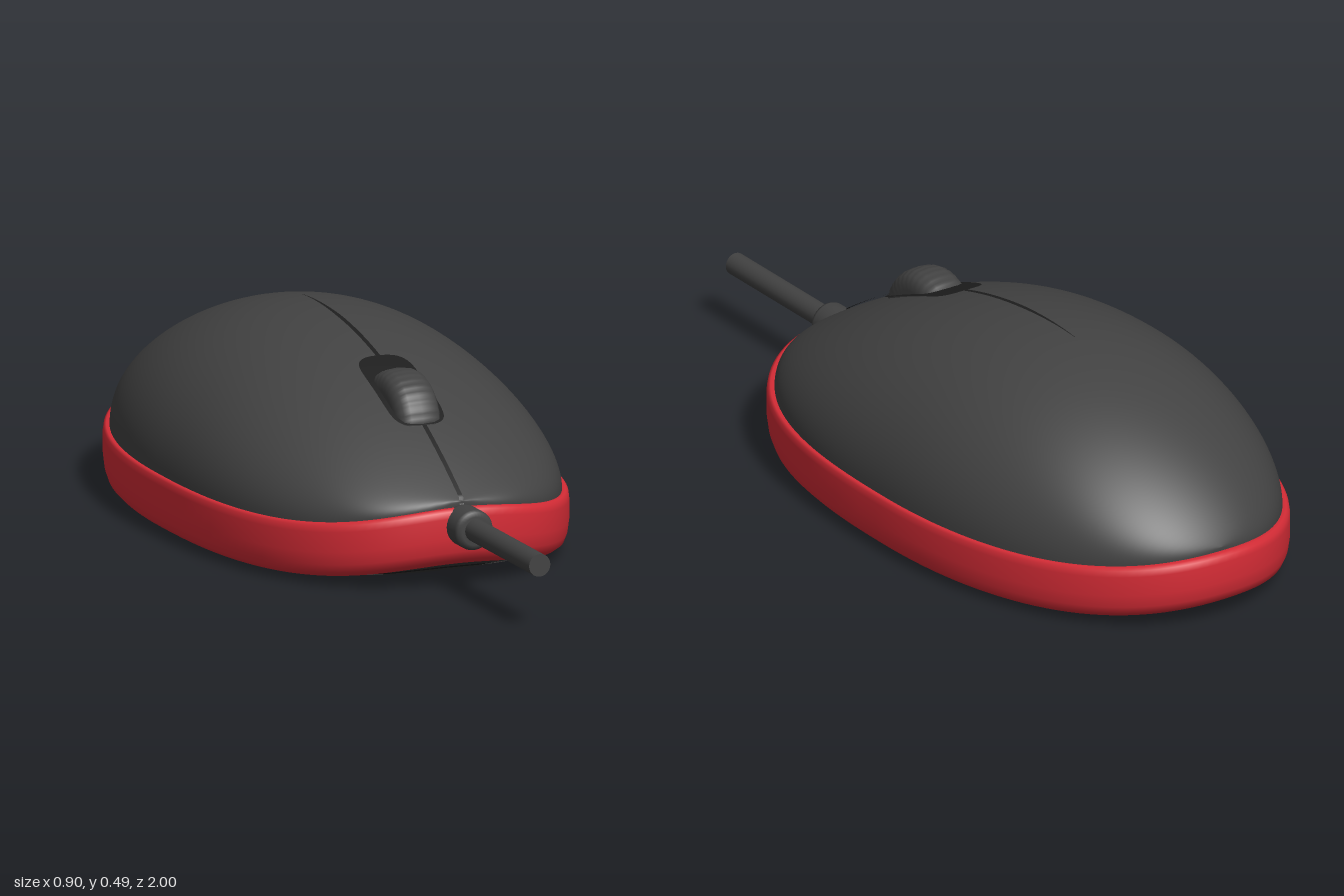
import * as THREE from 'three';
import { mergeVertices } from 'three/addons/utils/BufferGeometryUtils.js';

const MID = -0.215, HALF_L = 0.785, HALF_W = 0.45;

// Smooth surface from fn(u, v) -> [x, y, z]; outside is along du x dv
function surface(nu, nv, fn) {
  const pos = [], index = [];
  for (let i = 0; i <= nu; i++)
    for (let j = 0; j <= nv; j++) pos.push(...fn(i / nu, j / nv));
  for (let i = 0; i < nu; i++)
    for (let j = 0; j < nv; j++) {
      const a = i * (nv + 1) + j, b = a + nv + 1;
      index.push(a, b, a + 1, b, b + 1, a + 1);
    }
  const g = new THREE.BufferGeometry();
  g.setAttribute('position', new THREE.Float32BufferAttribute(pos, 3));
  g.setIndex(index);
  const merged = mergeVertices(g, 1e-5);
  merged.computeVertexNormals();
  return merged;
}

// Plan outline: a superellipse, blunter at the front
const power = (front) => (front ? 2.5 : 2.15);
function outline(theta, s = 1) {
  const c = Math.cos(theta), n = Math.sin(theta), e = 2 / power(n > 0);
  return [
    s * HALF_W * Math.sign(c) * Math.abs(c) ** e,
    MID + s * HALF_L * Math.sign(n) * Math.abs(n) ** e,
  ];
}

// Band edges arch up towards the front and back
const arch = (x) => (1 + Math.cos((Math.PI * Math.min(Math.abs(x), HALF_W)) / HALF_W)) / 2;
const rimY = (x, z) => 0.145 + (z > MID ? 0.05 : 0.03) * arch(x);
const bottomY = (x, z) => 0.012 + (z > MID ? 0.04 : 0.025) * arch(x);

// Dome: elliptical cross-sections under a curved spine
const DOME = 0.97;
function domeWidth(z) {
  const t = Math.min(1, Math.abs(z - MID) / (HALF_L * DOME)), p = power(z > MID);
  return HALF_W * DOME * Math.max(0, 1 - t ** p) ** (1 / p);
}
function spineY(z) {
  const front = z > -0.3;
  const d = Math.min(1, front ? (z + 0.3) / 0.862 : (-0.3 - z) / 0.68);
  return front ? 0.2 + 0.295 * (1 - d * d) : 0.175 + 0.32 * (1 - d * d) ** 0.75;
}
function domeY(x, z) {
  const w = domeWidth(z), base = rimY(w, z);
  const k = w > 1e-6 ? Math.sqrt(Math.max(0, 1 - (x / w) ** 2)) : 0;
  return base + Math.max(0, spineY(z) - base) * k;
}

// Thin plate lying on the dome between z0 and z1
function domePlate(z0, z1, halfWidth, lift, nu, nv) {
  return surface(nu, nv, (u, v) => {
    const t = -Math.cos(Math.PI * u);
    const z = (z0 + z1) / 2 + ((z1 - z0) / 2) * t;
    const x = halfWidth(t) * (2 * v - 1);
    return [x, domeY(x, z) + lift, z];
  });
}

// Profile lookup through [position, value] pairs
function lookup(points, s) {
  for (let i = 1; i < points.length; i++) {
    const [a, va] = points[i - 1], [b, vb] = points[i];
    if (s <= b) return va + ((vb - va) * (s - a)) / (b - a);
  }
  return points[points.length - 1][1];
}

export function createModel() {
  const group = new THREE.Group();
  const mat = (name, color, side = THREE.FrontSide) => {
    const m = new THREE.MeshStandardMaterial({ color, side });
    m.name = name;
    return m;
  };
  const charcoal = mat('charcoal plastic', 0x424242);
  const red = mat('red plastic', 0xd62c36);
  const dark = mat('dark gap', 0x1e1e1e, THREE.DoubleSide);
  const baseGrey = mat('base plastic', 0x363636, THREE.DoubleSide);
  const add = (name, geometry, material) => {
    const m = new THREE.Mesh(geometry, material);
    m.name = name;
    group.add(m);
    return m;
  };

  // Top shell
  add('topShell', surface(72, 64, (u, v) => {
    const z = MID - HALF_L * DOME * Math.cos(Math.PI * u);
    const w = domeWidth(z), base = rimY(w, z);
    const rise = Math.max(0, spineY(z) - base);
    return [-w * Math.cos(Math.PI * v), base - 0.003 + rise * Math.sin(Math.PI * v), z];
  }), charcoal);

  // Side band: scale and height fraction, from the bottom edge up and over
  const band = [[0.925, 0], [0.955, 0.03], [0.98, 0.12], [0.993, 0.27], [1, 0.5],
    [1, 0.85], [0.996, 0.96], [0.985, 1], [0.965, 0.99], [0.94, 0.95]];
  add('sideBand', surface(band.length - 1, 128, (u, v) => {
    const [s, t] = band[Math.round(u * (band.length - 1))];
    const th = v * 2 * Math.PI, [ox, oz] = outline(th), [x, z] = outline(th, s);
    return [x, THREE.MathUtils.lerp(bottomY(ox, oz), rimY(ox, oz), t), z];
  }), red);

  // Base plate with a sensor recess in the middle
  const blend = [[0, 0], [0.6, 0], [0.8, 0.2], [0.9, 0.8], [0.94, 1]];
  const baseY = (s, th) => {
    const [x, z] = outline(th);
    return THREE.MathUtils.lerp(0.005, bottomY(x, z) + 0.003, lookup(blend, s));
  };
  const rings = [0, 0.08, 0.11, 0.13, 0.4, 0.6, 0.7, 0.8, 0.85, 0.9, 0.94];
  add('basePlate', surface(rings.length - 1, 128, (u, v) => {
    const i = Math.round(u * (rings.length - 1)), th = v * 2 * Math.PI;
    const [x, z] = outline(th, rings[i]);
    return [x, i < 2 ? 0.05 : i === 2 ? 0.035 : baseY(rings[i], th), z];
  }), baseGrey);
  const lens = add('sensorLens', new THREE.SphereGeometry(0.025, 20, 12), charcoal);
  lens.position.set(0, 0.045, MID);

  // Curved glide feet, each inside a dark groove
  const footPatch = (mid, spread, s0, s1, drop) => surface(6, 32, (u, v) => {
    const t = 2 * v - 1, round = Math.sqrt(Math.max(0, 1 - t ** 8));
    const s = (s0 + s1) / 2 + (s1 - s0) * (u - 0.5) * round;
    const th = mid + spread * t, [x, z] = outline(th, s);
    return [x, baseY(s, th) - drop, z];
  });
  for (const [name, mid, spread, s0, s1] of [
    ['frontFoot', Math.PI / 2, 0.62, 0.78, 0.85],
    ['backFoot', -Math.PI / 2, 0.58, 0.7, 0.83],
  ]) {
    add(name + 'Groove', footPatch(mid, spread + 0.03, s0 - 0.012, s1 + 0.012, 0.002), dark);
    add(name, footPatch(mid, spread, s0, s1, 0.004), baseGrey);
  }

  // Button seam, tapering to the back
  add('buttonSeam', domePlate(-0.38, 0.558, (t) => 0.0055 * Math.min(1, (t + 1) * 2 + 0.1), 0.002, 60, 2), dark);

  // Scroll wheel in its well
  add('wheelWell', domePlate(0.06, 0.33, (t) => 0.067 * Math.max(0, 1 - t ** 6) ** (1 / 3), 0.003, 28, 8), dark);
  const wheelProfile = [[0.001, -0.055], [0.085, -0.055], [0.105, -0.053], [0.119, -0.044],
    [0.127, -0.028], [0.13, 0], [0.127, 0.028], [0.119, 0.044], [0.105, 0.053],
    [0.085, 0.055], [0.001, 0.055]].map(([r, y]) => new THREE.Vector2(r, y));
  const wheelGeo = new THREE.LatheGeometry(wheelProfile, 144);
  const p = wheelGeo.attributes.position;
  for (let i = 0; i < p.count; i++) {
    const x = p.getX(i), z = p.getZ(i);
    const k = 1 - 0.012 * (1 + Math.cos(36 * Math.atan2(z, x))) / 2;
    p.setX(i, x * k);
    p.setZ(i, z * k);
  }
  wheelGeo.computeVertexNormals();
  const wheel = add('scrollWheel', wheelGeo, charcoal);
  wheel.rotation.z = Math.PI / 2;
  wheel.position.set(0, 0.315, 0.2);

  // Strain relief collar and cable
  const collarProfile = [[0.001, 0], [0.04, 0], [0.046, 0.008], [0.048, 0.02], [0.048, 0.075],
    [0.044, 0.085], [0.034, 0.088], [0.001, 0.088]].map(([r, y]) => new THREE.Vector2(r, y));
  const collar = add('cableCollar', new THREE.LatheGeometry(collarProfile, 32), charcoal);
  collar.rotation.x = Math.PI / 2;
  collar.position.set(0, 0.153, 0.54);
  const cable = add('cable', new THREE.CylinderGeometry(0.027, 0.027, 0.4, 24), charcoal);
  cable.rotation.x = Math.PI / 2;
  cable.position.set(0, 0.155, 0.8);

  return group;
}
